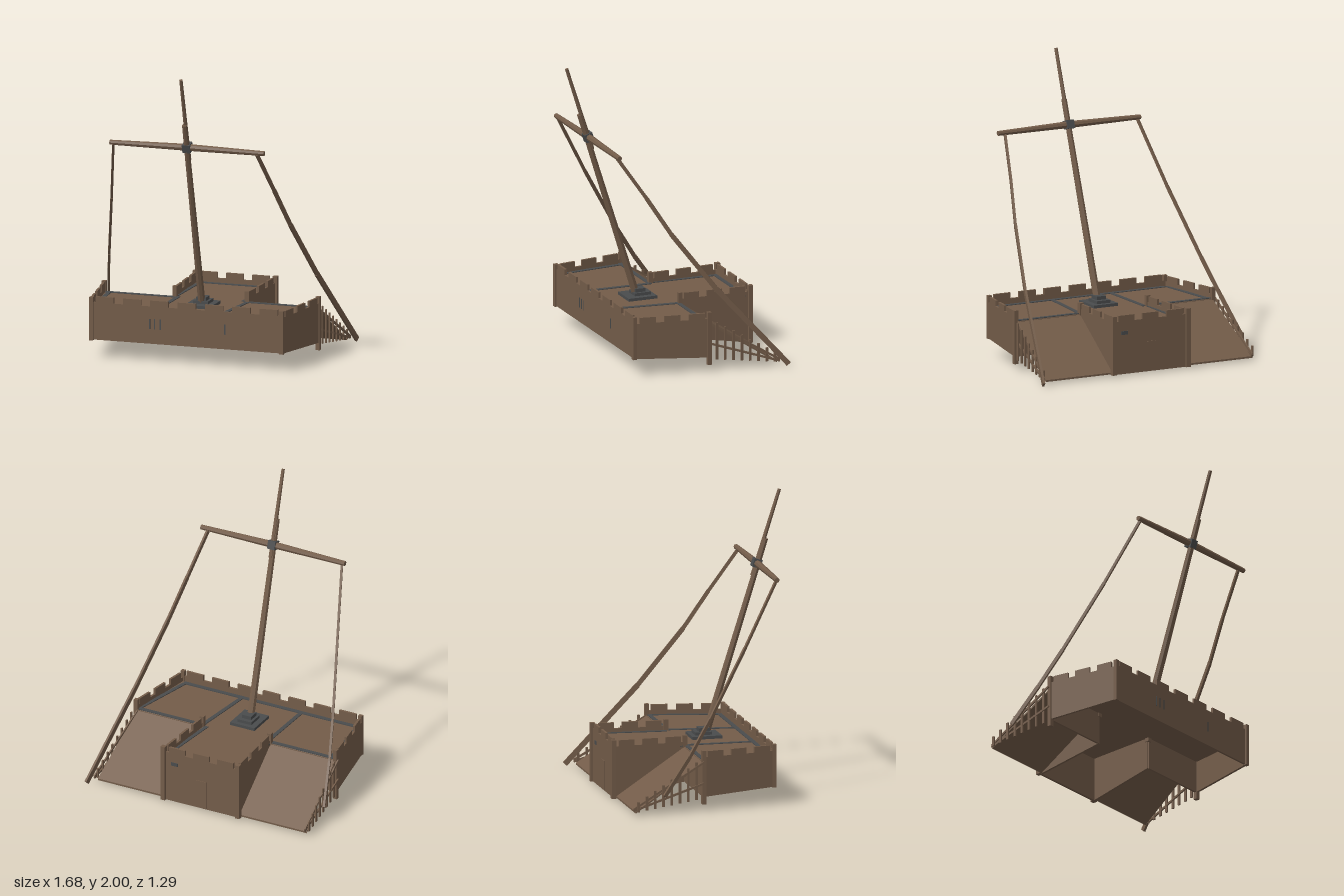
import * as THREE from 'three';

const mat = (name, color) => {
  const m = new THREE.MeshStandardMaterial({ color, flatShading: true });
  m.name = name;
  return m;
};

export function createModel() {
  const wood = mat('wood', 0x735c49);
  const iron = mat('iron', 0x4a4c4d);
  const root = new THREE.Group();
  root.name = 'rampFort';
  const fort = new THREE.Group();
  fort.name = 'fort';
  fort.position.x = -0.015;
  root.add(fort);

  const add = (parent, name, geo, material) => {
    const m = new THREE.Mesh(geo, material);
    m.name = name;
    parent.add(m);
    return m;
  };
  const box = (parent, name, w, h, d, x, y, z, material = wood) => {
    const m = add(parent, name, new THREE.BoxGeometry(w, h, d), material);
    m.position.set(x, y, z);
    return m;
  };
  // Square bar from a to b
  const beam = (parent, name, a, b, w, h, material = wood) => {
    const p = new THREE.Vector3(...a), q = new THREE.Vector3(...b);
    const m = add(parent, name, new THREE.BoxGeometry(w, h, p.distanceTo(q)), material);
    m.position.copy(p).add(q).multiplyScalar(0.5);
    m.lookAt(q);
    return m;
  };
  // Tapered round pole from a to b
  const pole = (parent, name, a, b, r0, r1, sides = 8) => {
    const p = new THREE.Vector3(...a), q = new THREE.Vector3(...b);
    const m = add(parent, name, new THREE.CylinderGeometry(r1, r0, p.distanceTo(q), sides), wood);
    m.position.copy(p).add(q).multiplyScalar(0.5);
    m.quaternion.setFromUnitVectors(new THREE.Vector3(0, 1, 0), q.sub(p).normalize());
    return m;
  };
  // Upright wall between two ground points, with merlons along its top
  const wall = (name, [x0, z0], [x1, z1], low0, low1, merlons, top = 0.38) => {
    const len = Math.hypot(x1 - x0, z1 - z0);
    const s = new THREE.Shape();
    s.moveTo(0, low0);
    s.lineTo(len, low1);
    s.lineTo(len, top);
    for (let i = merlons - 1; i >= 0; i--) {
      const c = len * (i + 0.5) / merlons, half = len / merlons * 0.33;
      s.lineTo(c + half, top);
      s.lineTo(c + half, top + 0.04);
      s.lineTo(c - half, top + 0.04);
      s.lineTo(c - half, top);
    }
    s.lineTo(0, top);
    const geo = new THREE.ExtrudeGeometry(s, { depth: 0.016, bevelEnabled: false });
    geo.translate(0, 0, -0.008);
    const m = add(fort, name, geo, wood);
    m.position.set(x0, 0, z0);
    m.rotation.y = Math.atan2(z0 - z1, x1 - x0);
  };
  const post = (name, x, z, low, size = 0.032) =>
    box(fort, name, size, 0.42 - low, size, x, (0.42 + low) / 2, z);

  const DECK = 0.345, FRONT = 0.41, MID = -0.09, BACK = -0.578;

  // Deck
  const outline = [[-0.67, FRONT], [0.67, FRONT], [0.75, MID], [0.25, MID], [0.27, BACK],
    [-0.27, BACK], [-0.25, MID], [-0.75, MID]];
  const deckShape = new THREE.Shape(outline.map(([x, z]) => new THREE.Vector2(x, -z)));
  const deckGeo = new THREE.ExtrudeGeometry(deckShape, { depth: 0.02, bevelEnabled: false });
  deckGeo.rotateX(-Math.PI / 2);
  add(fort, 'deck', deckGeo, wood).position.y = DECK - 0.02;

  // Outer walls
  wall('frontWall', [-0.675, FRONT], [0.675, FRONT], 0.13, 0.13, 7, 0.385);
  wall('backWall', [0.275, BACK], [-0.275, BACK], 0.02, 0.02, 3);

  const strip = (a, b, w = 0.03) =>
    beam(fort, 'deckStrip', [a[0], DECK + 0.002, a[1]], [b[0], DECK + 0.002, b[1]], w, 0.006, iron);
  strip([-0.65, 0.383], [0.65, 0.383]);
  strip([-0.25, -0.557], [0.25, -0.557], 0.028);

  for (const s of [-1, 1]) {
    wall('sideWall', [s * 0.675, FRONT], [s * 0.755, MID], 0.13, 0.105, 3, 0.375);
    wall('towerSideWall', [s * 0.255, MID], [s * 0.275, BACK], 0.105, 0.02, 3, 0.375);
    wall('rampEndWall', [s * 0.255, MID], [s * 0.755, MID], 0.105, 0.105, 0, DECK - 0.002);

    post('frontPost', s * 0.672, 0.415, 0.125, 0.028);
    post('middlePost', s * 0.755, MID, 0.055, 0.028);
    post('innerPost', s * 0.255, MID, 0.3, 0.03);
    post('backPost', s * 0.282, -0.588, 0.02);

    // Iron strips along the deck edges
    strip([s * 0.655, 0.38], [s * 0.73, -0.08], 0.028);
    strip([s * 0.24, -0.077], [s * 0.74, -0.077], 0.028);
    strip([s * 0.225, 0.37], [s * 0.247, -0.09], 0.028);
    strip([s * 0.238, -0.09], [s * 0.255, -0.56], 0.025);

    // Ramp: a box whose corners are moved to the sloping plan
    const geo = new THREE.BoxGeometry(1, 1, 1);
    const p = geo.attributes.position;
    for (let i = 0; i < p.count; i++) {
      const outer = p.getX(i) * s > 0, high = p.getZ(i) > 0;
      const x = outer ? (high ? 0.75 : 0.792) : (high ? 0.255 : 0.275);
      p.setXYZ(i, s * x, (high ? DECK : 0.035) + (p.getY(i) > 0 ? 0 : -0.012), high ? MID : -0.568);
    }
    geo.computeVertexNormals();
    add(fort, 'ramp', geo, wood);

    // Picket fence beside the ramp
    const fence = new THREE.Group();
    fence.name = 'rampFence';
    fort.add(fence);
    for (let i = 0; i < 8; i++) {
      const t = (i + 0.9) / 8.4;
      const top = 0.375 - 0.29 * t, low = 0.095 - 0.065 * t;
      box(fence, 'picket', 0.01, top - low, 0.017, s * (0.762 + 0.04 * t), (top + low) / 2, MID - 0.49 * t);
    }
    beam(fence, 'upperRail', [s * 0.757, 0.345, MID], [s * 0.797, 0.05, -0.58], 0.01, 0.014);
    beam(fence, 'lowerRail', [s * 0.757, 0.2, MID], [s * 0.797, 0.04, -0.58], 0.01, 0.014);
  }

  // Back door and small iron slits
  box(fort, 'backDoor', 0.08, 0.2, 0.008, 0, 0.125, BACK - 0.009);
  for (const x of [-0.26, -0.225, -0.185, 0.27])
    box(fort, 'frontSlit', 0.008, 0.07, 0.004, x, 0.265, FRONT + 0.008, iron);
  box(fort, 'backPlate', 0.05, 0.025, 0.004, 0.2, 0.3, BACK - 0.009, iron);

  // Stepped mast foot
  const foot = new THREE.Group();
  foot.name = 'mastFoot';
  foot.position.set(-0.008, DECK, 0.105);
  root.add(foot);
  box(foot, 'footPlate', 0.185, 0.02, 0.205, 0, 0.01, 0.005, iron);
  box(foot, 'footStep', 0.105, 0.02, 0.115, 0, 0.03, -0.01, iron);
  box(foot, 'footSocket', 0.07, 0.024, 0.075, 0, 0.052, 0.0, iron);

  // Leaning mast in two lengths
  pole(root, 'lowerMast', [-0.008, 0.37, 0.125], [0.014, 1.67, 0.54], 0.026, 0.019);
  pole(root, 'topMast', [0.014, 1.42, 0.45], [0.021, 2.0, 0.638], 0.016, 0.012);

  // Cross yard, thinner at its ends, held by a clamp
  const hub = [0.011, 1.506, 0.478];
  pole(root, 'yardRight', hub, [-0.535, 1.502, 0.478], 0.024, 0.017, 8);
  pole(root, 'yardLeft', hub, [0.555, 1.502, 0.478], 0.024, 0.017, 8);
  const clamp = box(root, 'yardClamp', 0.056, 0.058, 0.058, ...hub, iron);
  clamp.rotation.x = 0.31;

  // Sagging stays from the yard to the ground
  const stays = {
    leftStay: [[0.502, 1.49, 0.475], [0.56, 1.21, 0.29], [0.617, 0.95, 0.13], [0.705, 0.56, -0.16],
      [0.828, 0.02, -0.63]],
    rightStay: [[-0.512, 1.49, 0.475], [-0.605, 1.07, 0.24], [-0.715, 0.62, -0.03], [-0.775, 0.38, -0.19],
      [-0.833, 0.135, -0.375]],
  };
  for (const [name, pts] of Object.entries(stays)) {
    const g = new THREE.Group();
    g.name = name;
    root.add(g);
    const thick = name === 'leftStay' ? 0.035 : 0.026;
    for (let i = 0; i + 1 < pts.length; i++)
      beam(g, 'staySegment', pts[i], pts[i + 1], 0.016, thick * (0.65 + 0.12 * i));
  }
  return root;
}
